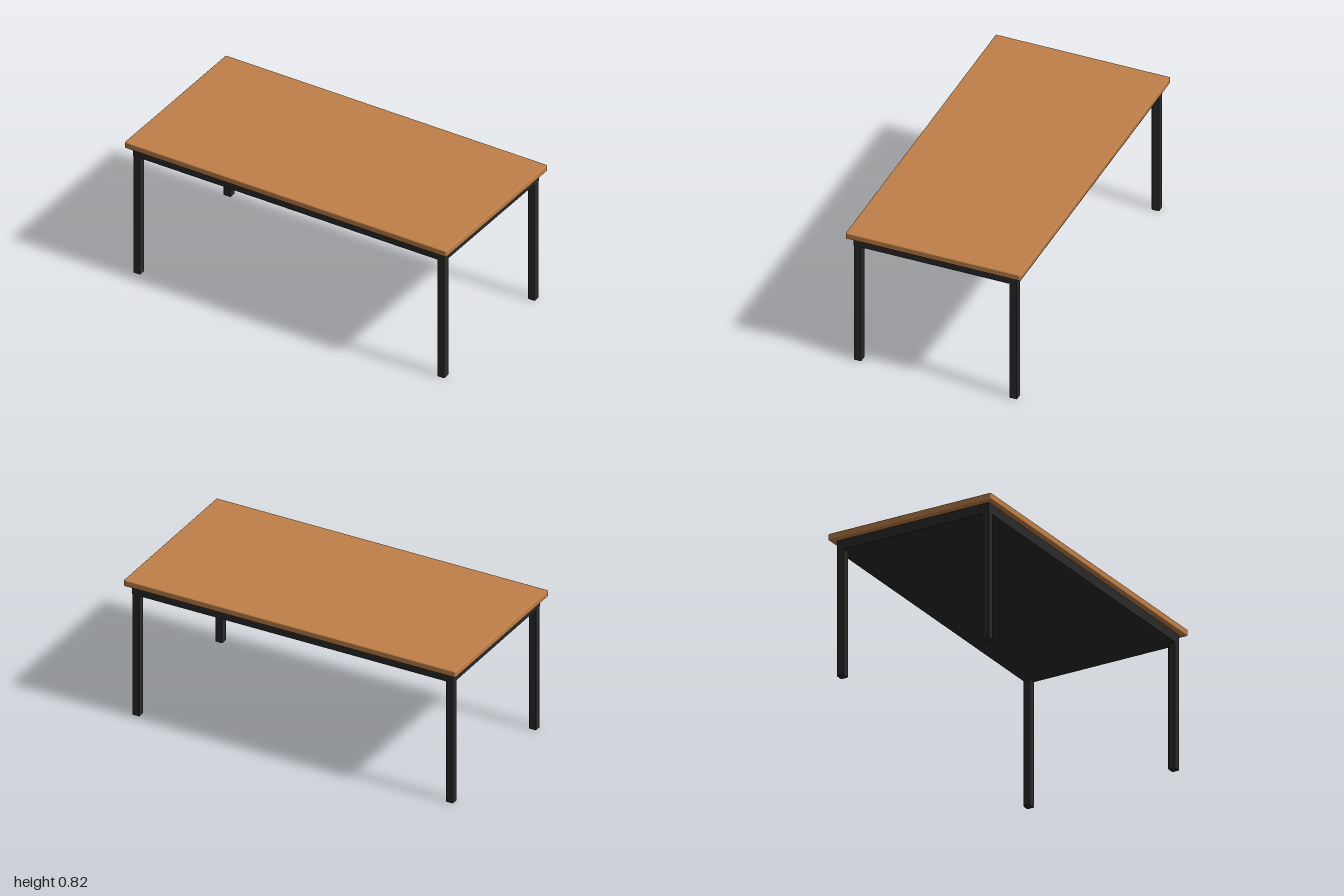
import * as THREE from 'three';
import { RoundedBoxGeometry } from 'three/addons/geometries/RoundedBoxGeometry.js';

export function createModel() {
  const table = new THREE.Group();
  table.name = 'table';

  const wood = new THREE.MeshStandardMaterial({ color: 0xc08048 });
  wood.name = 'warm wood';
  const metal = new THREE.MeshStandardMaterial({ color: 0x2a2a2a });
  metal.name = 'dark metal';

  const add = (name, geometry, material, x, y, z) => {
    const mesh = new THREE.Mesh(geometry, material);
    mesh.name = name;
    mesh.position.set(x, y, z);
    table.add(mesh);
  };

  const topHeight = 0.822, topThickness = 0.037;
  const frameTop = topHeight - topThickness, frameBottom = 0.729;
  const halfX = 0.967, halfZ = 0.467, legWidth = 0.043;

  // Tabletop with softened edges
  add('tabletop', new RoundedBoxGeometry(2, topThickness, 1, 3, 0.006), wood,
    0, topHeight - topThickness / 2, 0);

  // Closed frame under the top
  add('frame', new THREE.BoxGeometry(halfX * 2, frameTop - frameBottom, halfZ * 2), metal,
    0, (frameTop + frameBottom) / 2, 0);

  // Four square legs, flush with the frame corners
  const legGeometry = new RoundedBoxGeometry(legWidth, frameBottom + 0.006, legWidth, 2, 0.003);
  for (const [side, sx] of [['Left', 1], ['Right', -1]]) {
    for (const [end, sz] of [['front', 1], ['back', -1]]) {
      add(`${end}${side}Leg`, legGeometry, metal,
        sx * (halfX - legWidth / 2), (frameBottom + 0.006) / 2, sz * (halfZ - legWidth / 2));
    }
  }

  return table;
}
